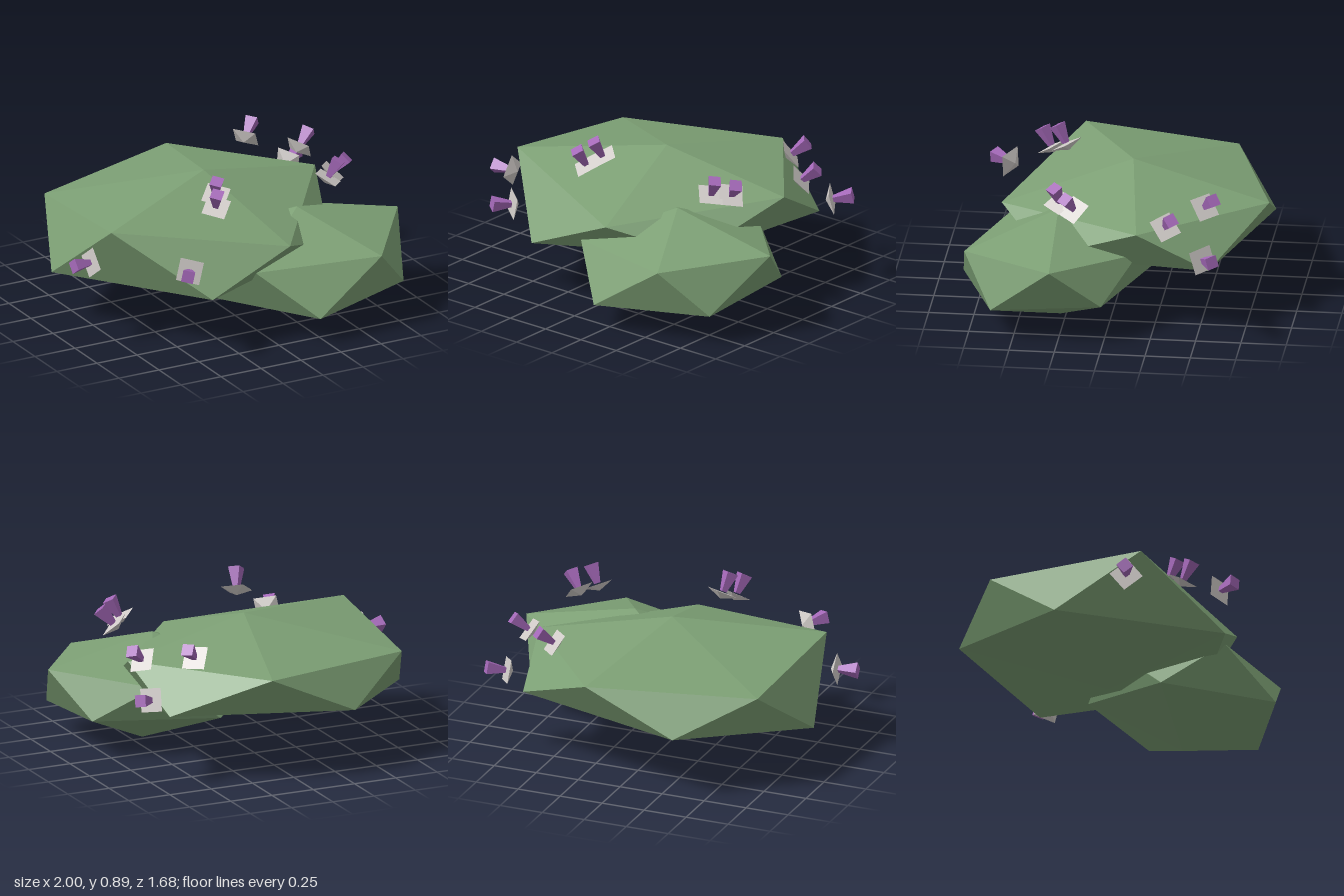
import * as THREE from 'three';
import { ConvexGeometry } from 'three/addons/geometries/ConvexGeometry.js';

const leaf = new THREE.MeshStandardMaterial({ color: 0x7c9f74 });
leaf.name = 'leaf green';
const petal = new THREE.MeshStandardMaterial({ color: 0xa468b8 });
petal.name = 'blossom purple';
const pale = new THREE.MeshStandardMaterial({ color: 0xd2cdca });
pale.name = 'pale grey';

// Faceted clump: top, upper ring, lower ring, bottom
function clump(name, points) {
  const geo = new ConvexGeometry(points.map((p) => new THREE.Vector3(...p)));
  const mesh = new THREE.Mesh(geo, leaf);
  mesh.name = name;
  return mesh;
}

// Four-sided tapered shape with flat faces
function taper(rTop, rBottom, height, y) {
  const g = new THREE.CylinderGeometry(rTop, rBottom, height, 4).toNonIndexed();
  g.translate(0, y, 0);
  g.computeVertexNormals();
  return g;
}

const dishGeo = taper(0.092, 0.002, 0.035, -0.0175);
const bloomGeo = taper(0.047, 0.02, 0.11, 0.062);

// Flower: shallow dish with a flared blossom pointing along dir
function flower(pos, dir) {
  const g = new THREE.Group();
  g.name = 'flower';
  const dish = new THREE.Mesh(dishGeo, pale);
  dish.name = 'flowerDish';
  const bloom = new THREE.Mesh(bloomGeo, petal);
  bloom.name = 'blossom';
  g.add(dish, bloom);
  g.position.set(...pos);
  g.quaternion.setFromUnitVectors(
    new THREE.Vector3(0, 1, 0), new THREE.Vector3(...dir).normalize());
  return g;
}

export function createModel() {
  const model = new THREE.Group();
  model.name = 'floweringBush';

  model.add(clump('largeClump', [
    [-0.02, 0.75, -0.07],
    [-0.79, 0.65, 0.28], [-0.74, 0.574, -0.57], [0.17, 0.6, -0.84], [0.73, 0.6, -0.17], [0.13, 0.52, 0.64],
    [-0.91, 0.28, -0.18], [-0.34, 0.36, -0.82], [0.66, 0.38, -0.56], [0.53, 0.375, 0.36], [-0.37, 0.31, 0.67],
    [-0.07, 0.17, -0.04],
  ]));

  model.add(clump('smallClump', [
    [0.36, 0.59, 0.3],
    [0.62, 0.42, 0.79], [1.0, 0.46, 0.28], [0.56, 0.42, -0.16], [-0.06, 0.43, -0.04], [-0.07, 0.39, 0.61],
    [0.85, 0.17, 0.62], [0.86, 0.22, 0.01], [0.18, 0.21, -0.2], [-0.16, 0.145, 0.27], [0.21, 0.145, 0.84],
    [0.43, 0, 0.28],
  ]));

  // Flowers: position and facing direction
  const flowers = [
    [[-0.88, 0.47, 0.215], [-1, 0.04, 0.12]],
    [[-0.51, 0.505, 0.665], [-0.5, 0.1, 0.75]],
    [[-0.155, 0.765, 0.315], [-0.2, 0.85, 0.45]],
    [[-0.2, 0.73, 0.4], [-0.2, 0.8, 0.45]],
    [[0.645, 0.7, 0.185], [0.5, 0.65, 0.3]],
    [[0.57, 0.71, 0.27], [0.4, 0.8, 0.2]],
    [[0.49, 0.685, -0.52], [0.5, 0.5, -0.4]],
    [[0.72, 0.65, -0.33], [0.6, 0.55, -0.3]],
    [[0.765, 0.485, -0.54], [0.75, 0.2, -0.5]],
  ];
  for (const [pos, dir] of flowers) model.add(flower(pos, dir));

  return model;
}
